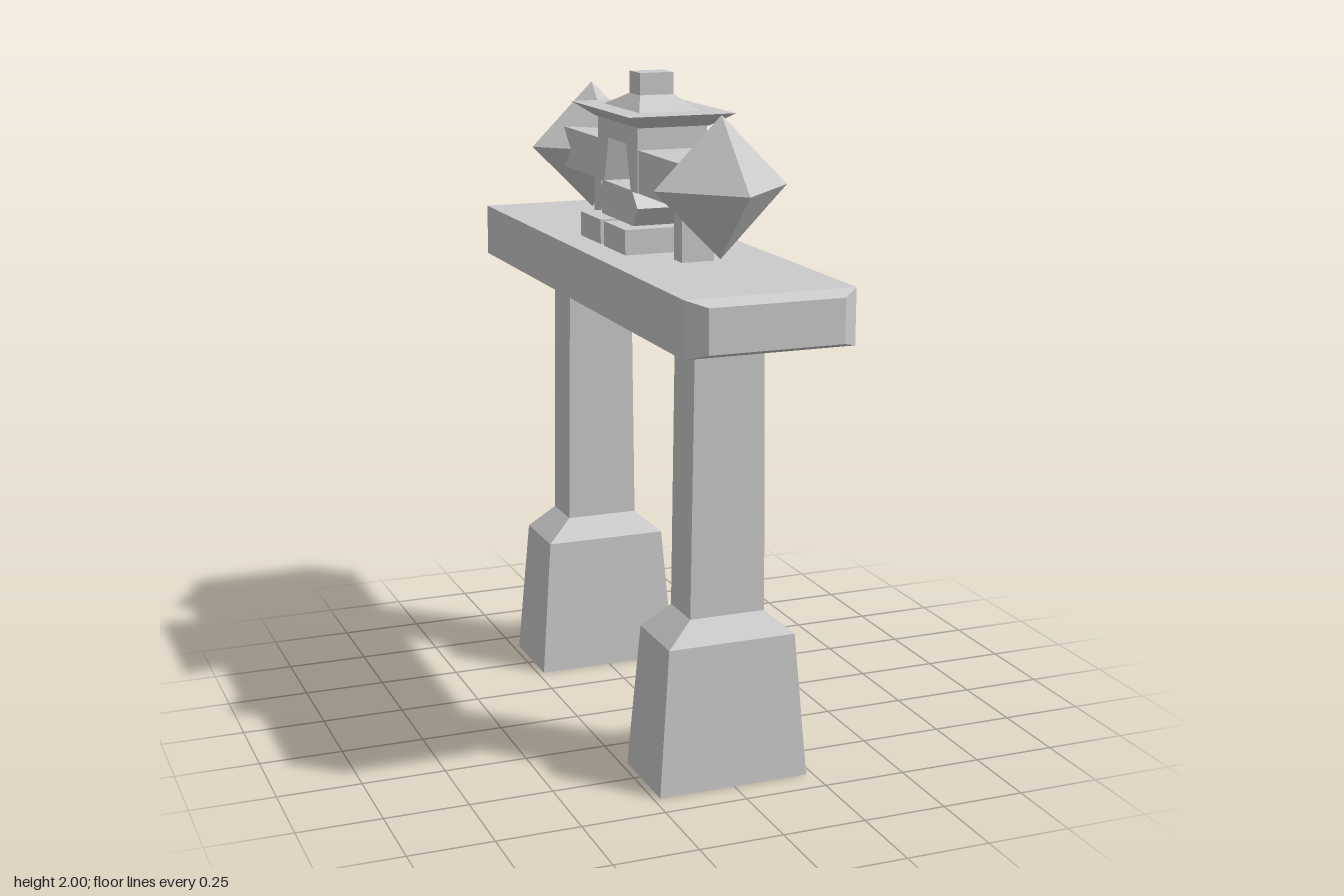
import * as THREE from 'three';

const material = new THREE.MeshStandardMaterial({ color: 0xcccccc, flatShading: true, side: THREE.DoubleSide });

function add(parent, name, geometry, x = 0, y = 0, z = 0) {
  const mesh = new THREE.Mesh(geometry, material);
  mesh.name = name;
  mesh.position.set(x, y, z);
  parent.add(mesh);
  return mesh;
}

// Stack of rectangles [y, half width x, half depth z], joined by flat sides
function loft(rings, capBottom = true, capTop = true) {
  const points = [];
  const index = [];
  for (const [y, hx, hz] of rings) {
    points.push(-hx, y, hz, hx, y, hz, hx, y, -hz, -hx, y, -hz);
  }
  for (let r = 0; r < rings.length - 1; r++) {
    for (let i = 0; i < 4; i++) {
      const a = r * 4 + i, b = r * 4 + (i + 1) % 4;
      index.push(a, b, b + 4, a, b + 4, a + 4);
    }
  }
  const t = (rings.length - 1) * 4;
  if (capBottom) index.push(0, 2, 1, 0, 3, 2);
  if (capTop) index.push(t, t + 1, t + 2, t, t + 2, t + 3);
  const indexed = new THREE.BufferGeometry();
  indexed.setAttribute('position', new THREE.Float32BufferAttribute(points, 3));
  indexed.setIndex(index);
  const geometry = indexed.toNonIndexed();
  geometry.computeVertexNormals();
  return geometry;
}

// Box given by its y and z ranges, centred on x
function slab(parent, name, halfX, y0, y1, z0, z1) {
  add(parent, name, new THREE.BoxGeometry(halfX * 2, y1 - y0, Math.abs(z1 - z0)), 0, (y0 + y1) / 2, (z0 + z1) / 2);
}

export function createModel() {
  const model = new THREE.Group();
  model.name = 'gate';

  // Long lintel with bevelled ends
  const lintel = add(model, 'lintel', loft([
    [-0.915, 0.197, 0.063], [-0.87, 0.25, 0.08], [0.87, 0.25, 0.08], [0.915, 0.197, 0.063],
  ]), 0, 1.411, 0);
  lintel.rotation.x = Math.PI / 2;

  for (const [side, s] of [['front', 1], ['back', -1]]) {
    // Pillar on a flared, hollow foot
    add(model, side + 'Pillar', loft([
      [0, 0.23, 0.134], [0.435, 0.195, 0.113], [0.505, 0.115, 0.074], [1.335, 0.105, 0.074],
    ], false, false), 0, 0, s * 0.525);

    // Diamond finial at the end of the upper bar
    add(model, side + 'Diamond', new THREE.OctahedronGeometry(0.2), 0, 1.725, s * 0.527);

    // Upper bar, its post, and the plinth block under the shrine
    slab(model, side + 'Bar', 0.105, 1.665, 1.79, s * 0.13, s * 0.52);
    slab(model, side + 'Post', 0.05, 1.485, 1.67, s * 0.305, s * 0.365);
    slab(model, side + 'Plinth', 0.157, 1.485, 1.565, s * 0.015, s * 0.193);
  }

  // Shrine: side profile (z, y) with a tapering window, run across x
  const profile = new THREE.Shape([
    [-0.132, 1.565], [0.132, 1.565], [0.167, 1.62], [0.125, 1.665], [0.167, 1.665], [0.167, 1.86],
    [-0.167, 1.86], [-0.167, 1.665], [-0.125, 1.665], [-0.167, 1.62],
  ].map(([z, y]) => new THREE.Vector2(z, y)));
  profile.holes.push(new THREE.Path([
    [-0.112, 1.668], [-0.075, 1.8], [0.075, 1.8], [0.112, 1.668],
  ].map(([z, y]) => new THREE.Vector2(z, y))));
  const shrine = new THREE.ExtrudeGeometry(profile, { depth: 0.218, bevelEnabled: false });
  shrine.translate(0, 0, -0.109);
  shrine.rotateY(Math.PI / 2);
  add(model, 'shrine', shrine);

  // Roof: flared eaves, low hip and a square cap
  add(model, 'eaves', loft([[1.856, 0.11, 0.185], [1.895, 0.165, 0.25]]));
  add(model, 'roof', loft([[1.895, 0.095, 0.147], [1.935, 0.053, 0.043]], false));
  add(model, 'cap', loft([[1.93, 0.053, 0.043], [2, 0.053, 0.043]]));

  return model;
}
